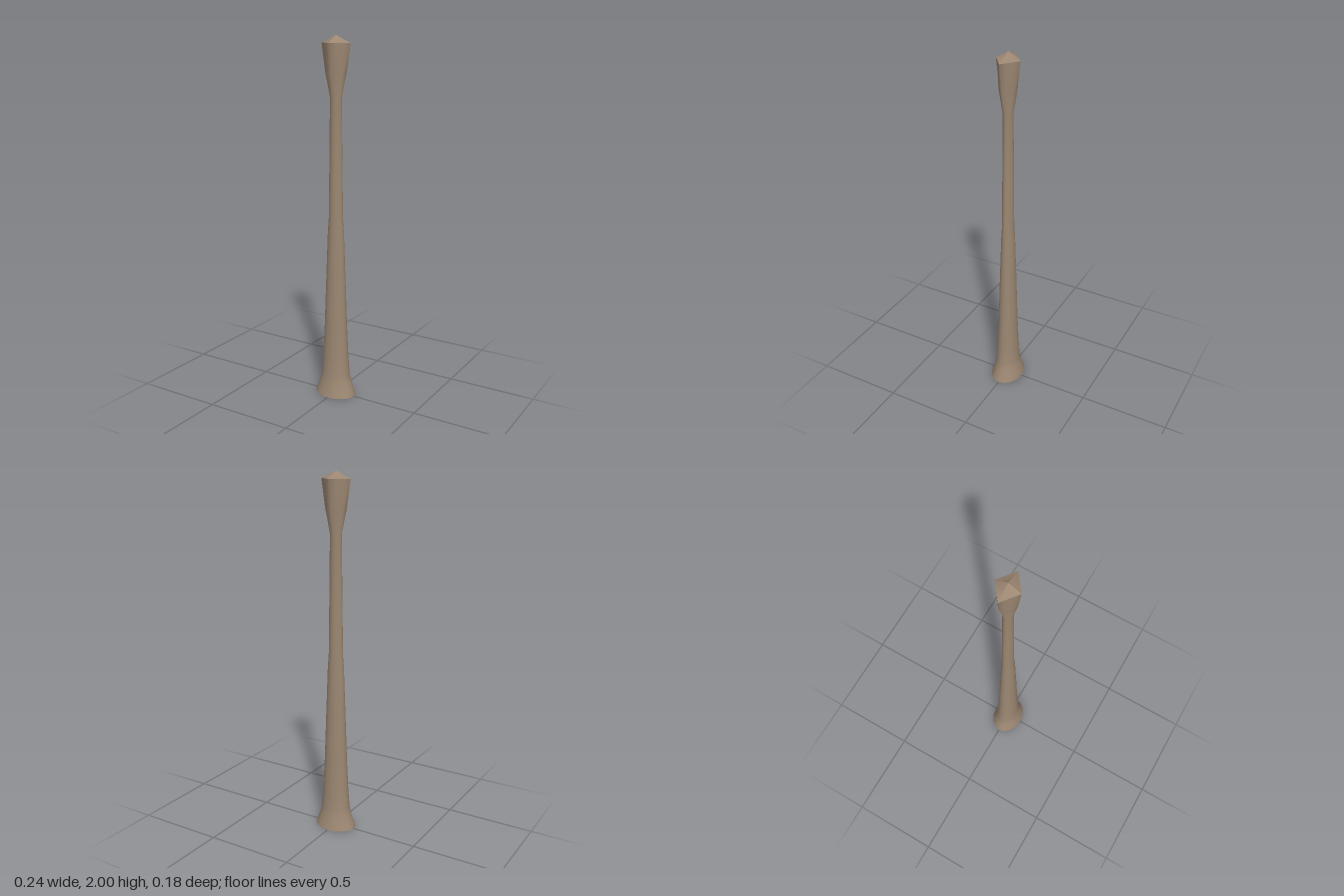
import * as THREE from 'three';
import { mergeVertices } from 'three/addons/utils/BufferGeometryUtils.js';

// Cross-sections: [height, half width, half depth, diamond amount (0 = oval, 1 = diamond)]
const SECTIONS = [
  [0, 0.12, 0.092, 0],
  [0.04, 0.106, 0.082, 0],
  [0.08, 0.092, 0.072, 0],
  [0.12, 0.084, 0.065, 0],
  [0.22, 0.076, 0.059, 0],
  [0.4, 0.067, 0.052, 0],
  [0.7, 0.056, 0.044, 0],
  [0.95, 0.048, 0.037, 0.1],
  [1.02, 0.044, 0.034, 0.25],
  [1.35, 0.039, 0.031, 0.25],
  [1.68, 0.035, 0.028, 0.25],
  [1.81, 0.066, 0.051, 0.5],
  [1.96, 0.088, 0.068, 1],
];

// Loft an open tube through the sections
function loft(sections, sides) {
  const rows = sections.length - 1;
  let geo = new THREE.CylinderGeometry(1, 1, 1, sides, rows, true);
  const pos = geo.attributes.position;
  for (let i = 0; i < pos.count; i++) {
    const c = pos.getX(i), s = pos.getZ(i);
    const [y, w, d, k] = sections[Math.round((pos.getY(i) + 0.5) * rows)];
    const r = 1 - k + k / (Math.abs(c) + Math.abs(s));
    pos.setXYZ(i, c * r * w, y, s * r * d);
  }
  // Weld the seam so that shading runs smoothly around
  geo.deleteAttribute('uv');
  geo.deleteAttribute('normal');
  geo = mergeVertices(geo, 1e-5);
  geo.computeVertexNormals();
  return geo;
}

export function createModel() {
  const model = new THREE.Group();
  model.name = 'post';
  const wood = new THREE.MeshStandardMaterial({ color: 0x9c8772, side: THREE.DoubleSide });
  wood.name = 'weathered brown';

  // Flared base, tapering shaft and widening head, open underneath
  const shaft = new THREE.Mesh(loft(SECTIONS, 16), wood);
  shaft.name = 'shaft';
  model.add(shaft);

  // Low four-sided point on the head
  const cap = new THREE.Mesh(new THREE.ConeGeometry(1, 0.04, 4, 1, true), wood);
  cap.geometry.scale(0.088, 1, 0.068);
  cap.geometry.computeVertexNormals();
  cap.position.y = 1.98;
  cap.name = 'cap';
  model.add(cap);

  return model;
}
